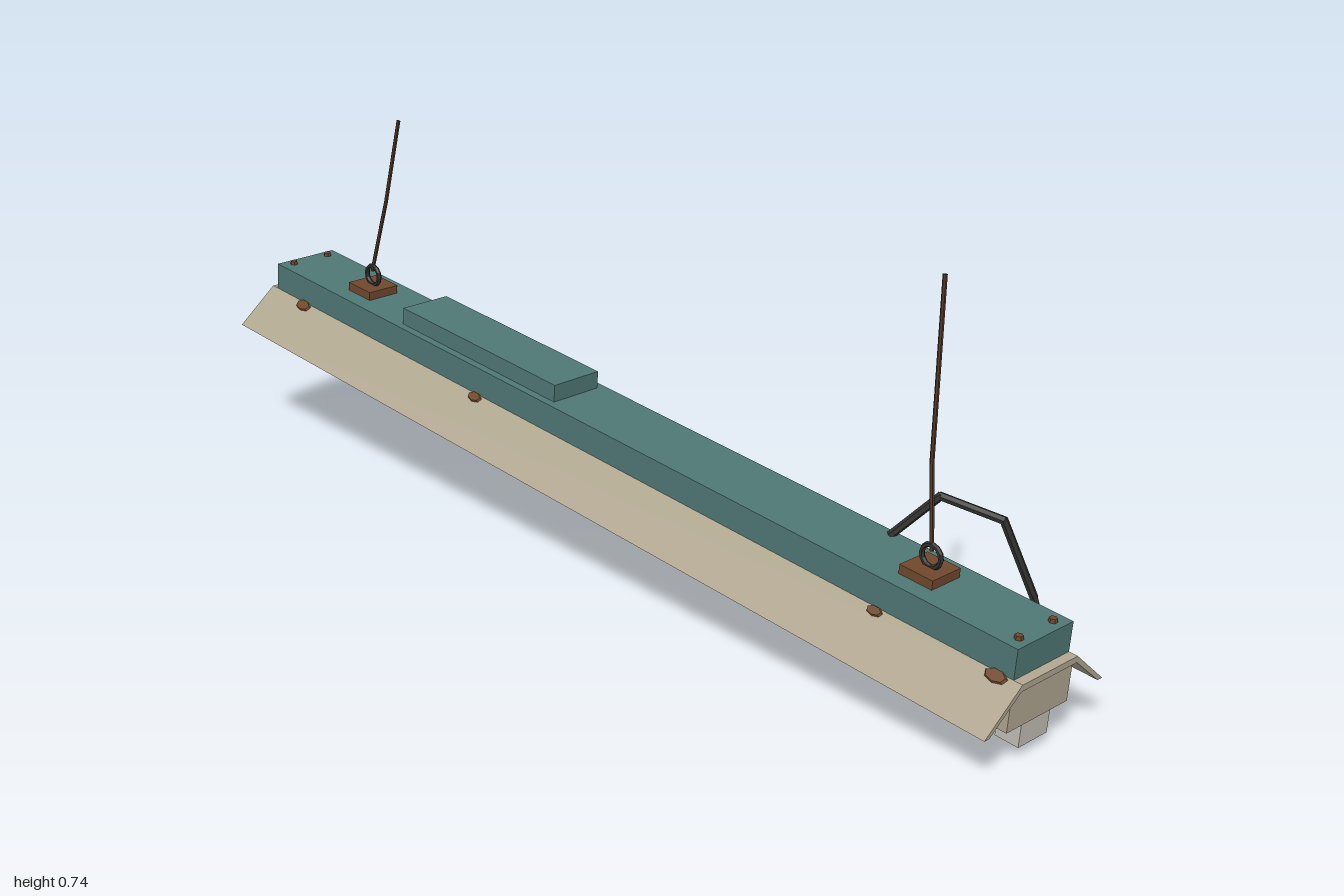
import * as THREE from 'three';

const mat = (name, color, side = THREE.FrontSide) => {
  const m = new THREE.MeshStandardMaterial({ color, flatShading: true, side });
  m.name = name;
  return m;
};

export function createModel() {
  const teal = mat('teal paint', 0x4f7775);
  const beige = mat('beige enamel', 0xb0a690);
  const grey = mat('pale socket plastic', 0xc2bfb6);
  const glass = mat('dusty glass', 0xc6c5bc, THREE.DoubleSide);
  const dark = mat('dark metal and rubber', 0x30302e);
  const rust = mat('rust', 0x70482c);
  const wireBrown = mat('rusty wire', 0x503624);

  const model = new THREE.Group();
  model.name = 'hangingLampFixture';

  // Fixture body leans down toward +x; its origin is the seam under the housing
  const body = new THREE.Group();
  body.name = 'fixture';
  body.position.set(0, 0.234, 0.03);
  body.rotation.z = -0.081;
  model.add(body);

  const add = (parent, name, geo, material, x = 0, y = 0, z = 0) => {
    const m = new THREE.Mesh(geo, material);
    m.name = name;
    m.position.set(x, y, z);
    parent.add(m);
    return m;
  };
  const box = (name, material, w, h, d, x, y, z = 0) =>
    add(body, name, new THREE.BoxGeometry(w, h, d), material, x, y, z);

  // Chain of straight round segments through the given points
  const chain = (name, material, radius, points, sides = 6) => {
    const g = new THREE.Group();
    g.name = name;
    const pts = points.map(p => new THREE.Vector3(...p));
    for (let i = 0; i < pts.length - 1; i++) {
      const dir = pts[i + 1].clone().sub(pts[i]);
      const geo = new THREE.CylinderGeometry(radius, radius, dir.length() + radius * 0.7, sides);
      const mid = pts[i].clone().add(pts[i + 1]).multiplyScalar(0.5);
      const seg = add(g, name + 'Segment', geo, material, mid.x, mid.y, mid.z);
      seg.quaternion.setFromUnitVectors(new THREE.Vector3(0, 1, 0), dir.normalize());
    }
    model.add(g);
  };

  // Housing and the ballast cover on top of it
  box('housing', teal, 1.96, 0.055, 0.14, 0, 0.0275);
  box('ballastCover', teal, 0.455, 0.034, 0.108, -0.345, 0.072);

  // Reflector: trapezoid shell running the whole length
  const section = new THREE.Shape([
    [-0.15, -0.07], [-0.138, -0.07], [-0.07, -0.012], [0.07, -0.012],
    [0.138, -0.07], [0.15, -0.07], [0.07, 0], [-0.07, 0],
  ].map(p => new THREE.Vector2(...p)));
  const shell = new THREE.ExtrudeGeometry(section, { depth: 1.995, bevelEnabled: false });
  shell.translate(0, 0, -0.9975).rotateY(Math.PI / 2);
  add(body, 'reflector', shell, beige);

  for (const s of [-1, 1]) {
    // End blocks, sockets and housing screws
    box('endBlock', beige, 0.085, 0.082, 0.154, s * 0.943, -0.05);
    box('lampSocket', grey, 0.047, 0.046, 0.073, s * 0.96, -0.112);
    for (const z of [-0.043, 0.043])
      add(body, 'housingScrew', new THREE.CylinderGeometry(0.007, 0.008, 0.008, 6), rust, s * 0.96, 0.058, z);

    // Hanger plates with half-ring eyes
    const px = s * 0.743;
    box('hangerPlate', rust, 0.07, 0.018, 0.07, px, 0.063, 0);
    add(body, 'hangerEye', new THREE.TorusGeometry(0.02, 0.005, 6, 12), dark, px, 0.091, 0);
  }

  // Broken lamp tube: end cap, open glass and a jagged edge
  const lamp = (s, capX, length, droop, jag) => {
    const g = new THREE.Group();
    g.name = s < 0 ? 'longBrokenLamp' : 'shortBrokenLamp';
    g.position.set(capX, -0.105, 0);
    g.rotation.z = droop;
    body.add(g);
    const sides = 10;
    const tube = new THREE.CylinderGeometry(0.026, 0.026, length, sides, 1, true);
    tube.translate(0, length / 2, 0);
    const p = tube.attributes.position;
    for (let i = 0; i <= sides; i++) {
      const k = i % sides;
      p.setY(i, length - jag * (k % 2 ? 0.65 + 0.35 * Math.sin(k * 2.3) : 0.2 + 0.2 * Math.cos(k * 1.7)));
    }
    tube.rotateZ(s * Math.PI / 2);
    add(g, 'lampGlass', tube, glass);
    const cap = new THREE.CylinderGeometry(0.031, 0.031, 0.04, 10).rotateZ(Math.PI / 2);
    add(g, 'lampCap', cap, dark, s * 0.005, 0, 0);
    for (const z of [-0.012, 0.012])
      add(g, 'lampPin', new THREE.BoxGeometry(0.03, 0.007, 0.007), dark, s * 0.035, 0, z);
  };
  lamp(-1, -0.915, 0.65, -0.025, 0.12);
  lamp(1, 0.905, 0.335, 0.02, 0.08);

  // Rust spots along the seam between housing and reflector
  for (const side of [-1, 1])
    for (const [x, r] of [[-0.88, 0.024], [-0.32, 0.02], [0.7, 0.018], [0.95, 0.024]]) {
      const spot = add(body, 'rustSpot', new THREE.CylinderGeometry(r * 0.8, r, 0.006, 7), rust, x, -0.004, side * 0.076);
      spot.rotation.x = side * 0.72;
      spot.scale.z = 0.55;
    }

  // Hanging wires
  chain('leftHangingWire', wireBrown, 0.004,
    [[-0.735, 0.395, 0.03], [-0.69, 0.55, 0.022], [-0.648, 0.72, 0.016]]);
  chain('rightHangingWire', wireBrown, 0.004,
    [[0.748, 0.275, 0.03], [0.736, 0.42, 0.026], [0.735, 0.734, 0.016]]);

  // Torn supply cable draped over the back, with frayed strands
  chain('supplyCable', dark, 0.0075, [
    [0.615, 0.24, -0.027], [0.675, 0.314, -0.077], [0.785, 0.297, -0.107],
    [0.825, 0.16, -0.147], [0.855, 0.056, -0.158],
  ]);
  for (const [dx, y, z] of [[-0.012, 0.012, -0.17], [0.012, 0.002, -0.177], [0.03, 0.02, -0.174]])
    chain('frayedStrand', wireBrown, 0.002,
      [[0.855, 0.058, -0.158], [0.857 + dx * 0.4, 0.027, -0.164], [0.858 + dx, y, z]], 4);

  return model;
}
